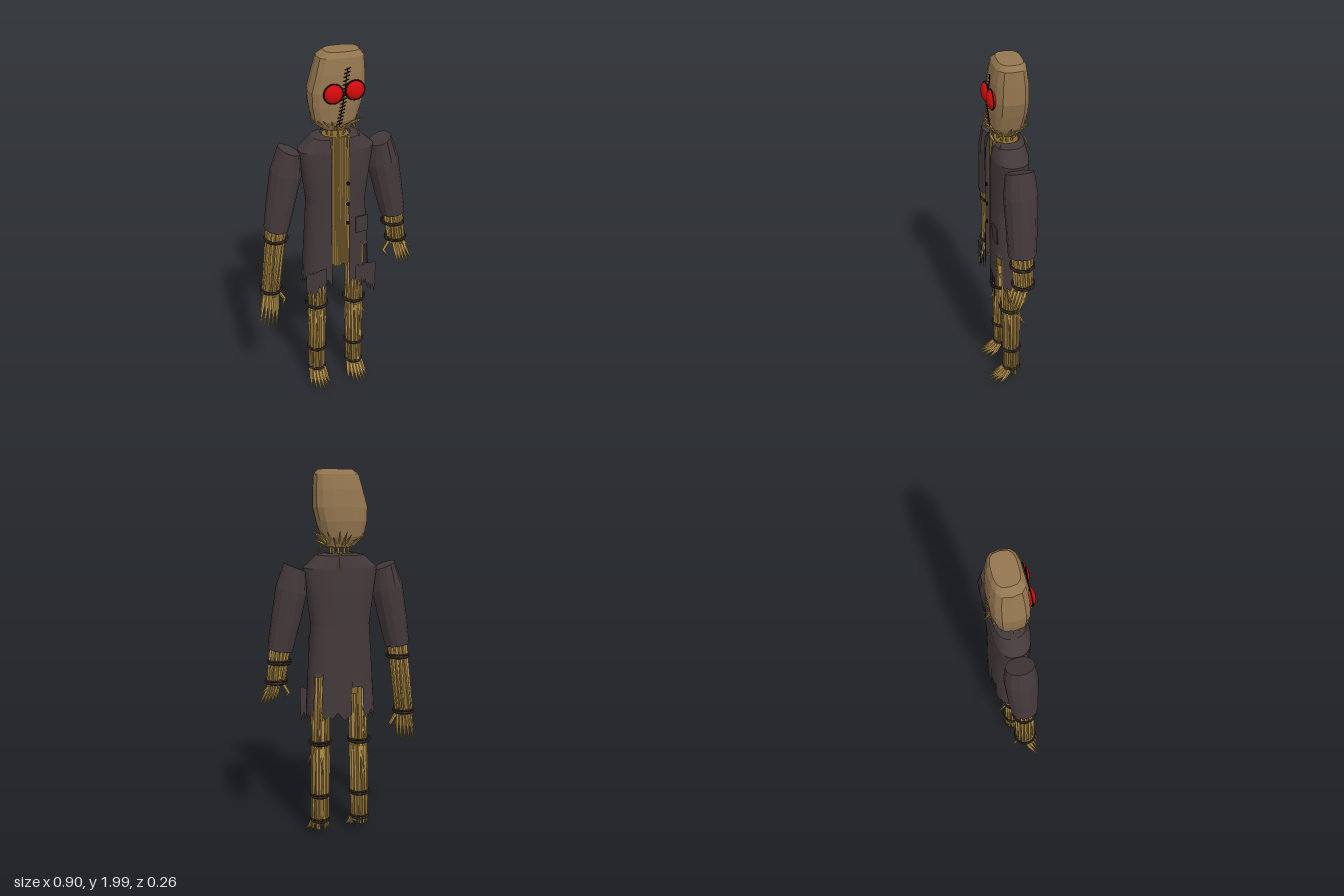
import * as THREE from 'three';
import { mergeGeometries } from 'three/addons/utils/BufferGeometryUtils.js';

const V = (x, y, z) => new THREE.Vector3(x, y, z);
const mat = (name, color, extra = {}) =>
  new THREE.MeshStandardMaterial({ name, color, flatShading: true, ...extra });

// Point on a rounded-box outline; angle 0 faces the front, growing toward +x
const outline = (a, rx, rz, e) => {
  const s = Math.sin(a), c = Math.cos(a);
  return [rx * Math.sign(s) * Math.abs(s) ** e, rz * Math.sign(c) * Math.abs(c) ** e];
};

// Skin rings [cx, cy, cz, rx, rz, tilt], listed bottom to top, with closed ends
function loft(rings, n, e = 1) {
  const pos = [], idx = [];
  for (const [cx, cy, cz, rx, rz, t = 0] of rings)
    for (let i = 0; i < n; i++) {
      const [x, z] = outline(((i + 0.5) / n) * Math.PI * 2, rx, rz, e);
      pos.push(cx + x * Math.cos(t), cy + x * Math.sin(t), cz + z);
    }
  for (let j = 0; j < rings.length - 1; j++)
    for (let i = 0; i < n; i++) {
      const k = (i + 1) % n, a = j * n + i, b = j * n + k;
      idx.push(a, b, b + n, a, b + n, a + n);
    }
  const last = (rings.length - 1) * n;
  for (let i = 1; i < n - 1; i++) idx.push(0, i + 1, i, last, last + i, last + i + 1);
  const g = new THREE.BufferGeometry();
  g.setAttribute('position', new THREE.Float32BufferAttribute(pos, 3));
  g.setIndex(idx);
  g.computeVertexNormals();
  return g;
}

// Straight straw from a to b
function straw(a, b, r0 = 0.006, r1 = 0.001) {
  const d = b.clone().sub(a);
  const g = new THREE.CylinderGeometry(r1, r0, d.length(), 5);
  g.applyQuaternion(new THREE.Quaternion().setFromUnitVectors(V(0, 1, 0), d.normalize()));
  const m = a.clone().add(b).multiplyScalar(0.5);
  return g.translate(m.x, m.y, m.z);
}

export function createModel() {
  const root = new THREE.Group();
  const sack = mat('sackcloth', 0x94764f);
  const coat = mat('coat cloth', 0x43383a, { side: THREE.DoubleSide });
  const pale = mat('straw', 0xb08c47);
  const deep = mat('dark straw', 0x86692f);
  const rope = mat('rope', 0x2f2823);
  const black = mat('thread', 0x15110f);
  const red = mat('eye red', 0xd60a0a, { flatShading: false });
  let seed = 7;
  const rnd = () => (seed = (seed * 16807) % 2147483647) / 2147483647;
  const add = (name, geo, m) => {
    const mesh = new THREE.Mesh(Array.isArray(geo) ? mergeGeometries(geo) : geo, m);
    mesh.name = name;
    root.add(mesh);
    return mesh;
  };

  // Bundle of straws round a core, from a (top) to b (bottom)
  function bundle(name, a, b, ra, rb, n) {
    add(name + 'Core', loft([[b.x, b.y, b.z, rb * 0.8, rb * 0.8], [a.x, a.y, a.z, ra * 0.8, ra * 0.8]], 8), deep);
    const list = [];
    for (let i = 0; i < n; i++) {
      const t = (i / n) * Math.PI * 2, u = t + (rnd() - 0.5) * 0.5, drop = rnd() * 0.03;
      list.push(straw(V(a.x + ra * 0.85 * Math.sin(t), a.y, a.z + ra * 0.85 * Math.cos(t)),
        V(b.x + rb * Math.sin(u), b.y - drop, b.z + rb * Math.cos(u)), 0.011, 0.006));
    }
    add(name + 'Straws', list, pale);
  }
  // Rope tie with a double loop
  const tie = (name, x, y, z, r) => add(name, [-0.005, 0.005].map((d) =>
    new THREE.TorusGeometry(r, 0.0065, 5, 14).rotateX(Math.PI / 2 + d * 8).translate(x, y + d, z)), rope);

  // Head sack
  add('head', loft([
    [0, 1.61, 0, 0.075, 0.06], [-0.012, 1.66, 0, 0.112, 0.083], [-0.006, 1.74, -0.005, 0.133, 0.094],
    [0.002, 1.81, -0.006, 0.143, 0.095], [0.014, 1.9, -0.006, 0.13, 0.09],
    [0.022, 1.975, -0.006, 0.117, 0.077], [0.03, 2.0, -0.008, 0.088, 0.06]], 14, 0.66), sack);

  // Eyes with stitched rims
  for (const [name, x, y] of [['rightEye', -0.037, 1.81], ['leftEye', 0.072, 1.82]]) {
    add(name, new THREE.SphereGeometry(0.047, 20, 12).scale(1, 1, 0.5).translate(x, y, 0.09), red);
    add(name + 'Rim', new THREE.TorusGeometry(0.049, 0.004, 5, 20).translate(x, y, 0.09), black);
  }
  // Face seam with cross stitches
  const seam = [straw(V(0.035, 1.93, 0.086), V(0.01, 1.76, 0.096), 0.002, 0.002),
    straw(V(0.01, 1.76, 0.096), V(-0.005, 1.64, 0.08), 0.002, 0.002)];
  for (let i = 0; i < 16; i++) {
    const t = i / 15, x = 0.035 - 0.04 * t, y = 1.93 - 0.28 * t;
    const z = y > 1.76 ? 0.097 - (y - 1.76) * 0.05 : 0.097 - (1.76 - y) * 0.12;
    seam.push(straw(V(x - 0.015, y - 0.005, z), V(x + 0.015, y + 0.005, z), 0.003, 0.003));
  }
  add('faceSeam', seam, black);

  // Neck straws and flared collar of straw
  const neck = [], ruff = [];
  for (let i = 0; i < 9; i++) {
    const t = (i / 9) * Math.PI * 2, x = 0.045 * Math.sin(t), z = 0.04 * Math.cos(t);
    neck.push(straw(V(x, 1.53, z), V(x * 1.1, 1.63, z * 1.1), 0.006, 0.006));
  }
  for (let i = 0; i < 26; i++) {
    const t = (i / 26) * Math.PI * 2 + rnd() * 0.1, s = Math.sin(t), c = Math.cos(t), k = 0.9 + rnd() * 0.2;
    ruff.push(straw(V(0.06 * s, 1.61, 0.05 * c), V(0.145 * s * k, 1.645 + rnd() * 0.05, 0.122 * c * k), 0.011, 0.001));
  }
  ruff.push(straw(V(0.08, 1.63, 0.03), V(0.11, 1.56, 0.06)), straw(V(0.02, 1.57, -0.09), V(0.03, 1.48, -0.125)));
  add('neckStraws', neck, pale);
  add('strawRuff', ruff, pale);

  // Straw torso
  add('torsoCore', loft([[0, 0.82, 0, 0.1, 0.07], [0, 1.2, 0, 0.11, 0.075], [0, 1.5, 0, 0.12, 0.07], [0, 1.57, 0, 0.07, 0.06]], 12, 0.8), deep);
  const chest = [];
  for (let i = 0; i < 9; i++) {
    const x = -0.044 + i * 0.011;
    chest.push(straw(V(x, 0.82 + rnd() * 0.02, 0.073), V(x + (rnd() - 0.5) * 0.01, 1.57, 0.068), 0.009, 0.007));
  }
  add('torsoStraws', chest, pale);

  // Open coat with slits and a ragged hem, rows listed top to bottom: [y, rx, rz]
  const rows = [[1.575, 0.075, 0.06], [1.565, 0.125, 0.08], [1.5, 0.197, 0.094], [1.38, 0.18, 0.1], [1.2, 0.157, 0.1], [0.95, 0.173, 0.103]];
  const N = 48, E = 0.75, cp = [];
  const coatPoint = (i, y, rx, rz) => {
    const a0 = Math.asin((0.047 / rx) ** (1 / E));
    const [x, z] = outline(a0 + ((Math.PI * 2 - 2 * a0) * i) / N, rx, rz, E);
    return [x, y, z - 0.004];
  };
  const quad = (a, b, c, d) => cp.push(...a, ...b, ...c, ...a, ...c, ...d);
  for (let i = 0; i < N; i++) {
    for (let j = 0; j < rows.length - 1; j++)
      quad(coatPoint(i, ...rows[j + 1]), coatPoint(i + 1, ...rows[j + 1]), coatPoint(i + 1, ...rows[j]), coatPoint(i, ...rows[j]));
    const [x, , z] = coatPoint(i + 0.5, 0.8, 0.187, 0.107);
    const hem = (k) => {
      if (x > 0.125 && x < 0.168) return 0.93;
      if (z < 0 && x > -0.1 && x < -0.05) return 0.87;
      return 0.71 + [0, 0.03, 0.01, 0.045][k % 4] - (z < 0 ? 0.02 : 0);
    };
    quad(coatPoint(i, hem(i), 0.187, 0.107), coatPoint(i + 1, hem(i + 1), 0.187, 0.107),
      coatPoint(i + 1, ...rows[5]), coatPoint(i, ...rows[5]));
  }
  const cg = new THREE.BufferGeometry();
  cg.setAttribute('position', new THREE.Float32BufferAttribute(cp, 3));
  cg.computeVertexNormals();
  add('coat', cg, coat);

  // Torn strips, patch and buttons
  const strips = [];
  for (const s of [-1, 1]) for (let i = 0; i < 6; i++) {
    const x = s * (0.09 + i * 0.019), w = 0.011, low = 0.64 + rnd() * 0.06;
    const shape = new THREE.Shape([[x - w, 0.8 + rnd() * 0.04], [x - w, low + 0.06], [x + s * 0.006, low], [x + w, low + 0.05], [x + w, 0.83]]
      .map((p) => new THREE.Vector2(...p)));
    strips.push(new THREE.ShapeGeometry(shape).translate(0, 0, 0.106 + (i % 2) * 0.004));
  }
  add('tornStrips', strips, coat);
  add('patch', new THREE.BoxGeometry(0.07, 0.095, 0.006).rotateY(0.15).translate(0.118, 1.07, 0.089), coat);
  add('buttons', [1.33, 1.21, 1.1].map((y) =>
    new THREE.CylinderGeometry(0.01, 0.01, 0.008, 8).rotateX(Math.PI / 2).translate(0.035, y, 0.11)), black);

  // Arms: the right forearm is long, the left one short
  for (const s of [-1, 1]) {
    const side = s < 0 ? 'right' : 'left';
    add(side + 'Sleeve', loft([
      [s * 0.325, 1.07, 0, 0.066, 0.072, s * 0.15], [s * 0.295, 1.22, -0.004, 0.076, 0.08, s * 0.18],
      [s * 0.262, 1.385, -0.006, 0.083, 0.086, s * 0.26], [s * 0.243, 1.505, -0.006, 0.06, 0.072, s * 0.4]], 12), coat);
    const w = s < 0 ? V(-0.372, 0.69, 0) : V(0.353, 0.9, 0);
    const drop = s < 0 ? 0.21 : 0.145;
    bundle(side + 'Forearm', V(s * 0.322, 1.1, 0), w, 0.055, 0.045, 12);
    tie(side + 'CuffTie', s * 0.328, 1.01, 0, 0.06);
    tie(side + 'WristTie', w.x + s * -0.005, w.y + 0.005, 0, 0.056);
    // Fingers and thumb
    const fingers = [];
    for (let i = 0; i < 5; i++) {
      const f = i / 4;
      const base = V(w.x + s * (f - 0.5) * 0.06, w.y, 0.03 - f * 0.04);
      const mid = V(w.x + s * (-0.02 + f * 0.07), w.y - drop * 0.45, 0.055 - f * 0.04);
      const tip = V(w.x + s * (-0.01 + f * 0.088), w.y - drop * (0.9 + 0.1 * Math.sin(f * 3)), 0.078 - f * 0.025);
      fingers.push(straw(base, mid, 0.01, 0.011), straw(mid, tip, 0.011, 0.002));
    }
    const k = V(w.x - s * 0.075, w.y - 0.07, 0.01);
    fingers.push(straw(V(w.x - s * 0.035, w.y, 0.01), k, 0.01, 0.009), straw(k, V(k.x + s * 0.02, k.y - 0.03, 0.04), 0.009, 0.001));
    fingers.push(s < 0 ? straw(V(-0.38, 0.68, -0.04), V(-0.405, 0.62, -0.085), 0.009)
      : straw(V(0.37, 0.89, -0.01), V(0.447, 0.82, 0.02), 0.009));
    add(side + 'Fingers', fingers, pale);

    // Legs
    const cx = s * 0.108;
    bundle(side + 'Thigh', V(cx, 0.92, 0), V(s * 0.106, 0.5, 0), 0.05, 0.045, 13);
    bundle(side + 'Shin', V(s * 0.108, 0.52, 0), V(s * 0.115, 0.08, -0.005), 0.05, 0.044, 13);
    tie(side + 'KneeTie', s * 0.11, 0.55, 0, 0.06);
    tie(side + 'ShinTie', s * 0.112, 0.245, -0.002, 0.052);
    tie(side + 'AnkleTie', s * 0.114, 0.1, -0.004, 0.047);

    // Toes reaching forward
    const toes = [];
    for (let i = 0; i < 6; i++) {
      const f = i / 5 - 0.5, x = s * 0.114;
      const mid = V(x + f * 0.09, 0.045, 0.04 + 0.02 * Math.cos(f * 3));
      toes.push(straw(V(x + f * 0.07, 0.1, 0.01), mid, 0.012, 0.012),
        straw(mid, V(x + f * 0.115, 0.012, 0.08 + 0.055 * Math.cos(f * 3)), 0.012, 0.002));
    }
    for (const [dx, dz] of [[-0.05, 0], [0.05, 0], [0.02, -0.04], [-0.02, -0.035]])
      toes.push(straw(V(s * 0.114 + dx * 0.6, 0.12, dz), V(s * 0.114 + dx * 1.1, 0.03, dz * 1.1), 0.008));
    add(side + 'Toes', toes, pale);

    // Loose straws poking out of the legs
    const barbs = [[0.76, 0.65, 0.06, 0.05], [0.76, 0.68, 0.02, -0.1], [0.7, 0.63, -0.06, 0.02], [0.5, 0.41, 0.075, 0.03],
      [0.5, 0.43, -0.055, 0.03], [0.48, 0.38, 0.01, -0.095], [0.5, 0.4, 0.02, 0.07], [0.62, 0.56, 0.03, -0.075]]
      .map(([y0, y1, dx, dz]) => straw(V(cx + s * dx * 0.4, y0, dz * 0.4), V(cx + s * dx, y1, dz), 0.01, 0.001));
    add(side + 'LooseStraws', barbs, pale);
  }
  return root;
}
